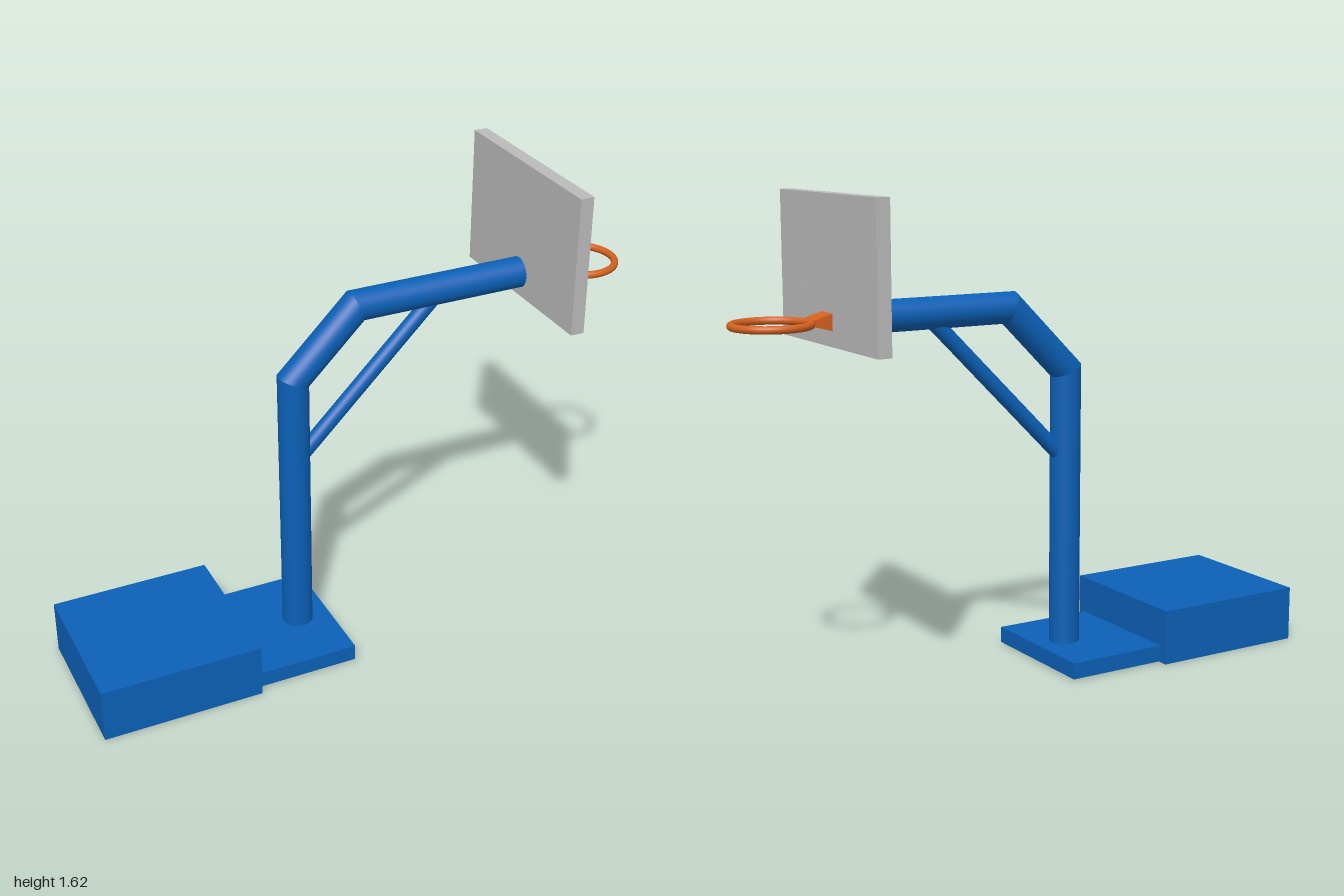
import * as THREE from 'three';

const Z = -0.005; // centre line of the frame

export function createModel() {
  const mat = (name, color) => {
    const m = new THREE.MeshStandardMaterial({ color });
    m.name = name;
    return m;
  };
  const blue = mat('blue paint', 0x0b60b6);
  const grey = mat('grey board', 0xbababa);
  const orange = mat('orange rim', 0xd2611e);

  const model = new THREE.Group();
  model.name = 'basketballHoop';
  const add = (name, geometry, material) => {
    const mesh = new THREE.Mesh(geometry, material);
    mesh.name = name;
    model.add(mesh);
    return mesh;
  };
  // Box given by its x, y and z limits
  const box = (name, material, x0, x1, y0, y1, z0, z1) =>
    add(name, new THREE.BoxGeometry(x1 - x0, y1 - y0, z1 - z0), material)
      .position.set((x0 + x1) / 2, (y0 + y1) / 2, (z0 + z1) / 2);

  // Round pipe between two points [x, y]; mitred ends are cut for a 45 degree bend
  const miter = Math.tan(Math.PI / 8);
  const pipe = (name, a, b, radius, miterStart, miterEnd) => {
    const dx = b[0] - a[0], dy = b[1] - a[1];
    const g = new THREE.CylinderGeometry(radius, radius, Math.hypot(dx, dy), 32);
    const p = g.attributes.position;
    for (let i = 0; i < p.count; i++) {
      const x = p.getX(i), y = p.getY(i);
      if (y > 0 && miterEnd) p.setY(i, y - x * miter);
      if (y < 0 && miterStart) p.setY(i, y + x * miter);
    }
    const mesh = add(name, g, blue);
    mesh.rotation.z = Math.atan2(-dx, dy);
    mesh.position.set((a[0] + b[0]) / 2, (a[1] + b[1]) / 2, Z);
  };

  // Base
  box('counterweight', blue, -1, -0.447, 0, 0.19, Z - 0.264, Z + 0.264);
  box('basePlate', blue, -0.447, -0.088, 0.004, 0.06, Z - 0.235, Z + 0.235);

  // Bent post with its brace
  const low = [-0.202, 1.013], high = [0.023, 1.237];
  pipe('post', [-0.202, 0.05], low, 0.0525, false, true);
  pipe('slopedArm', low, high, 0.0525, true, true);
  pipe('topArm', high, [0.63, 1.237], 0.0525, true, false);
  pipe('brace', [-0.18, 0.722], [0.31, 1.212], 0.0265, false, false);

  // Backboard with a faint three-sided target outline
  box('backboard', grey, 0.628, 0.675, 1.155, 1.625, -0.338, 0.338);
  box('targetTop', grey, 0.674, 0.676, 1.43, 1.44, -0.13, 0.15);
  box('targetBottom', grey, 0.674, 0.676, 1.21, 1.22, -0.13, 0.15);
  box('targetSide', grey, 0.674, 0.676, 1.22, 1.43, 0.14, 0.15);

  // Tapered rim bracket
  const taper = new THREE.Shape([
    [0.68, 1.207], [0.74, 1.223], [0.74, 1.243], [0.68, 1.261],
  ].map(([x, y]) => new THREE.Vector2(x, y)));
  const bracket = new THREE.ExtrudeGeometry(taper, { depth: 0.08, bevelEnabled: false });
  add('rimBracket', bracket, orange).position.z = Z - 0.04;

  // Rim
  const rim = add('rim', new THREE.TorusGeometry(0.121, 0.0125, 16, 48), orange);
  rim.rotation.x = Math.PI / 2;
  rim.position.set(0.866, 1.233, Z);

  return model;
}
